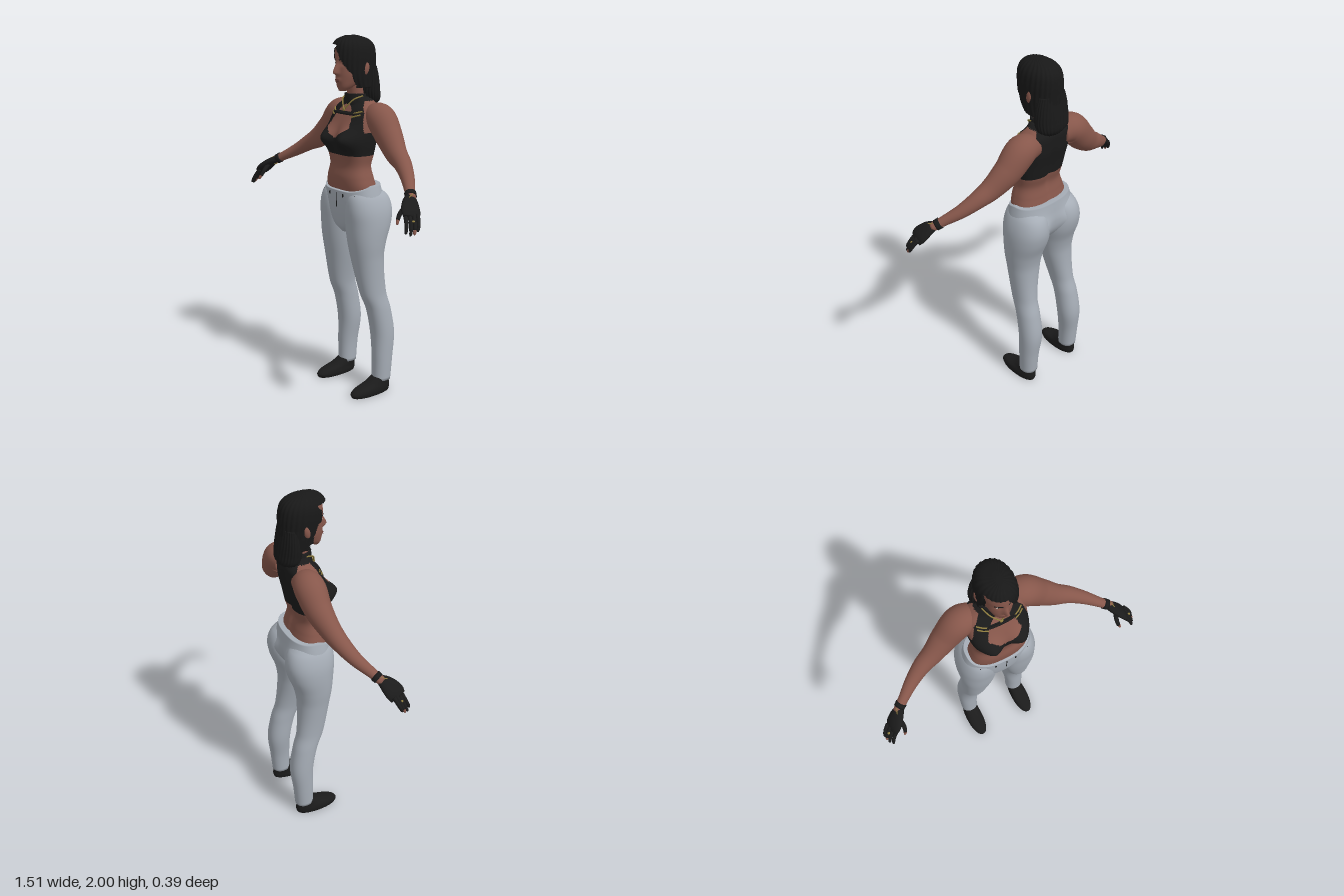
import * as THREE from 'three';

const mat = (name, color, side = THREE.FrontSide) => {
  const m = new THREE.MeshStandardMaterial({ color, side });
  m.name = name;
  return m;
};
const { abs, exp, cos, sin, PI, sign, pow, max, min } = Math;
const bell = (d, w) => exp(-(d * d) / (w * w));

// smooth interpolation of section rows [key, ...values]
function at(rows, k) {
  const n = rows.length;
  let i = 0;
  while (i < n - 2 && k > rows[i + 1][0]) i++;
  const p0 = rows[max(i - 1, 0)], p1 = rows[i], p2 = rows[i + 1], p3 = rows[min(i + 2, n - 1)];
  const h = p2[0] - p1[0], t = (k - p1[0]) / h, t2 = t * t, t3 = t2 * t;
  return p1.slice(1).map((v, j) => {
    const a = v, b = p2[j + 1];
    const ma = (b - p0[j + 1]) / (p2[0] - p0[0]) * h, mb = (p3[j + 1] - a) / (p3[0] - p1[0]) * h;
    return (2 * t3 - 3 * t2 + 1) * a + (t3 - 2 * t2 + t) * ma + (3 * t2 - 2 * t3) * b + (t3 - t2) * mb;
  });
}

// closed rings joined into a capped skin; paint picks a material index, -1 leaves a hole
function skin(f, nu, nv, paint = () => 0) {
  const pos = [], faces = {};
  for (let j = 0; j <= nv; j++) for (let i = 0; i < nu; i++) pos.push(...f(i / nu, j / nv));
  const ends = [0, nv].map(j => {
    const c = [0, 0, 0];
    for (let i = 0; i < nu; i++) for (let k = 0; k < 3; k++) c[k] += pos[(j * nu + i) * 3 + k] / nu;
    pos.push(...c);
    return pos.length / 3 - 1;
  });
  const add = (...t) => {
    const m = [0, 1, 2].map(k => t.reduce((s, v) => s + pos[v * 3 + k], 0) / 3);
    const id = paint(...m);
    if (id >= 0) (faces[id] ??= []).push(...t);
  };
  for (let i = 0; i < nu; i++) {
    const q = (i + 1) % nu, e = nv * nu;
    add(ends[0], i, q);
    add(ends[1], e + q, e + i);
    for (let j = 0; j < nv; j++) {
      const a = j * nu + i, b = j * nu + q;
      add(a, a + nu, b);
      add(b, a + nu, b + nu);
    }
  }
  const g = new THREE.BufferGeometry(), index = [];
  for (const id in faces) {
    g.addGroup(index.length, faces[id].length, +id);
    for (const v of faces[id]) index.push(v);
  }
  g.setAttribute('position', new THREE.Float32BufferAttribute(pos, 3));
  g.setIndex(index);
  g.computeVertexNormals();
  return g;
}

// upright form: rows [y, centreX, halfWidth, frontZ, backZ]
function column(rows, { e = 2.2, bend = p => p, nu = 40, nv = 40, paint } = {}) {
  const y0 = rows[0][0], y1 = rows[rows.length - 1][0], pw = v => sign(v) * pow(abs(v), 2 / e);
  return skin((u, v) => {
    const y = y0 + (y1 - y0) * v, [cx, rx, zf, zb] = at(rows, y), a = 2 * PI * u;
    return bend([cx + rx * pw(cos(a)), y, (zf + zb) / 2 + (zf - zb) / 2 * pw(sin(a))], a);
  }, nu, nv, paint);
}
// height of a column's front surface at x, y
const frontZ = (rows, e, bend) => (x, y) => {
  const [cx, rx, zf, zb] = at(rows, y);
  const s = pow(max(0, 1 - pow(min(1, abs((x - cx) / rx)), e)), 1 / e);
  return bend([x, y, (zf + zb) / 2 + (zf - zb) / 2 * s])[2];
};
// form along a path: points [x, y, z, radiusAcross, radiusInZ]
function limb(pts, nu = 24, nv = 40) {
  const rows = pts.map((p, i) => [i, ...p]), n = pts.length - 1;
  return skin((u, v) => {
    const k = v * n, [x, y, z, ra, rb] = at(rows, k);
    const p = at(rows, max(0, k - .02)), q = at(rows, min(n, k + .02));
    const t = new THREE.Vector3(q[0] - p[0], q[1] - p[1], q[2] - p[2]).normalize();
    const B = new THREE.Vector3(0, 0, 1).addScaledVector(t, -t.z).normalize(), A = t.clone().cross(B);
    return new THREE.Vector3(x, y, z).addScaledVector(A, ra * cos(2 * PI * u)).addScaledVector(B, rb * sin(2 * PI * u)).toArray();
  }, nu, nv);
}

export function createModel() {
  const model = new THREE.Group();
  const M = {
    skin: mat('skin', 0x87574b), cloth: mat('black cloth', 0x1b1b1b), hair: mat('dark hair', 0x181818, THREE.DoubleSide),
    denim: mat('grey trousers', 0xa6adb6, THREE.DoubleSide), gold: mat('gold', 0x8f7d3f),
    lips: mat('lips', 0x6b3f38), eye: mat('eye white', 0xb8aca4),
  };
  const add = (name, geo, m) => {
    const mesh = new THREE.Mesh(geo, m);
    mesh.name = name;
    model.add(mesh);
    return mesh;
  };
  const blob = (name, m, p, s) => {
    const b = add(name, new THREE.SphereGeometry(1, 16, 10), m);
    b.position.set(...p);
    b.scale.set(...s);
    return b;
  };
  const tube = (name, pts, r, m) => add(name, new THREE.TubeGeometry(
    new THREE.CatmullRomCurve3(pts.map(p => new THREE.Vector3(...p))), 24, r, 6), m);

  // torso with the halter top painted on
  const torso = [[1.14, 0, .16, .06, -.12], [1.2, 0, .166, .07, -.12], [1.25, 0, .153, .072, -.11], [1.31, 0, .137, .063, -.1],
    [1.37, 0, .145, .07, -.115], [1.45, 0, .16, .08, -.13], [1.52, 0, .165, .06, -.145], [1.58, 0, .162, .033, -.15],
    [1.62, 0, .148, .01, -.15], [1.65, 0, .11, -.008, -.14], [1.68, 0, .07, -.01, -.13]];
  const bust = ([x, y, z]) => [x, y, z + (z > -.02 ? 1 : 0) * min(1, (z + .02) / .04) * .05 * bell(abs(x) - .085, .06) * bell(y - 1.46, .055)
    + (z < -.06 ? .012 * bell(x, .025) * bell(y - 1.4, .2) : 0)];
  const topPaint = (x, y, z) => {
    const ax = abs(x);
    if (y < 1.375) return 0;
    if (ax > (y < 1.5 ? .3 : y < 1.6 ? .158 - (y - 1.5) * .23 : .135 - (y - 1.6) * .75) && y < 1.66) return 0;
    if (z > -.05) {
      if (y > 1.46 && y < 1.585 && ax < min((y - 1.46) * 1.55, .093 - (y - 1.52) * .35)) return 0;
      if (y > 1.602 && y < 1.642 && ax < .058 * pow((1.642 - y) / .04, .5)) return 0;
    }
    return 1;
  };
  add('torso and halter top', column(torso, { e: 2.5, bend: bust, nu: 144, nv: 120, paint: topPaint }), [M.skin, M.cloth]);
  const chestZ = frontZ(torso, 2.5, bust);

  // neck and collar
  add('neck', column([[1.62, 0, .056, -.015, -.12], [1.7, 0, .052, -.008, -.115], [1.78, 0, .052, .0, -.11]]), M.skin);
  add('collar', column([[1.64, 0, .086, .004, -.14], [1.665, 0, .071, .004, -.13], [1.695, 0, .064, .002, -.122]]), M.cloth);

  // necklace, chest strap and gold clasps
  const onChest = (x, y, d = .004) => [x, y, chestZ(x, y) + d];
  tube('chest strap', [-.1, -.05, 0, .05, .1].map(x => onChest(x, 1.593)), .007, M.cloth);
  for (const s of [1, -1]) {
    tube('necklace chain', [[s * .069, 1.685, -.05], [s * .05, 1.668, -.005], [s * .025, 1.64, .014], [0, 1.612, .026]], .004, M.gold);
    for (const y of [1.585, 1.603]) tube('strap clasp', [.075, .1, .125].map(x => onChest(s * x, y + (x - .1) * .3)), .004, M.gold);
  }
  blob('pendant', M.gold, [0, 1.612, .026], [.01, .01, .006]);

  // head
  const head = [[1.712, 0, .022, .052, .015], [1.735, 0, .043, .06, -.03], [1.765, 0, .057, .064, -.07], [1.8, 0, .067, .067, -.1],
    [1.85, 0, .073, .066, -.125], [1.9, 0, .074, .068, -.135], [1.95, 0, .065, .055, -.125], [1.985, 0, .035, .01, -.08]];
  const faceForm = ([x, y, z]) => [x, y, z + (z < .02 ? 0 : .03 * bell(x, .013) * (y > 1.808 ? bell(y - 1.808, .045) : bell(y - 1.808, .012))
    + .008 * bell(x, .022) * bell(y - 1.768, .014) - .007 * bell(abs(x) - .032, .016) * bell(y - 1.857, .013))];
  add('head', column(head, { bend: faceForm, nu: 96, nv: 80 }), M.skin);
  const faceZ = frontZ(head, 2.2, faceForm);
  for (const s of [1, -1]) {
    blob('eye', M.eye, [s * .032, 1.857, faceZ(s * .032, 1.857)], [.012, .0045, .003]);
    blob('iris', M.hair, [s * .032, 1.857, faceZ(s * .032, 1.857) + .002], [.0045, .0045, .002]);
    tube('eyebrow', [.014, .032, .05].map((x, i) => [s * x, 1.874 + [0, .006, .002][i], faceZ(s * x, 1.876)]), .003, M.hair);
    blob('ear', M.skin, [s * .09, 1.83, -.055], [.012, .034, .018]).rotation.x = -.2;
  }
  for (const y of [1.764, 1.772]) blob('lip', M.lips, [0, y, faceZ(0, y) - .002], [.02, .0045, .004]);

  // hair: swept cap with a face opening, and a mass falling behind the neck
  const cap = [[1.73, .0, .09, .035, -.165], [1.78, 0, .094, .066, -.163], [1.84, 0, .096, .083, -.163], [1.9, 0, .096, .087, -.162],
    [1.95, 0, .086, .08, -.15], [1.982, 0, .06, .055, -.115], [2, .005, .018, .015, -.05]];
  const strands = w => ([x, y, z], a) => [x + cos(a) * w * cos(26 * a + y * 20), y, z + sin(a) * w * cos(26 * a + y * 20)];
  const edge = y => y > 1.9 ? .03 - (y - 1.9) * .5 : min(.078, .03 + (1.9 - y) * .5);
  const capPaint = (x, y, z) =>
    y < 1.955 && x < edge(y) && z > (x < 0 ? -.02 : 0) && x > -.086 - (1.9 - y) * .1 || (y < 1.76 && z > -.04 && x < .07) ? -1 : 0;
  add('hair cap', column(cap, { bend: strands(.0018), nu: 130, nv: 70, paint: capPaint }), M.hair);
  add('long hair', column([[1.635, .01, .05, -.085, -.165], [1.66, 0, .09, -.075, -.178], [1.71, 0, .1, -.06, -.175],
    [1.78, 0, .095, -.07, -.165], [1.84, 0, .08, -.08, -.155]], { bend: strands(.0025), nu: 104 }), M.hair);

  // trousers: seat and waist
  const seat = [[.935, 0, .035, .03, -.07], [.97, 0, .1, .055, -.11], [1.03, 0, .19, .07, -.148], [1.1, 0, .208, .078, -.16],
    [1.16, 0, .195, .08, -.155], [1.215, 0, .181, .08, -.148]];
  const seatForm = ([x, y, z]) => [x, y - max(0, (y - 1.12) / .095) * .035 * min(1, max(0, (z + .03) / .1)),
    z - (z < -.05 ? .032 * bell(abs(x) - .1, .06) * bell(y - 1.07, .07) : 0)];
  add('trouser seat', column(seat, { e: 2.4, bend: seatForm, nu: 72 }), M.denim);
  const seatZ = frontZ(seat, 2.4, p => p);
  add('trouser fly', new THREE.BoxGeometry(.004, .08, .006), M.cloth).position.set(.004, 1.125, .079);
  for (const x of [-.14, -.06, .06, .14]) blob('waist stud', M.cloth, [x, 1.155, seatZ(x, 1.16) + .001], [.005, .01, .004]);

  const leg = [[.07, .165, .05, -.063, -.17], [.2, .165, .055, -.064, -.181], [.35, .157, .065, -.06, -.195], [.5, .152, .063, -.03, -.172],
    [.6, .145, .063, .01, -.145], [.8, .127, .089, .05, -.13], [.9, .122, .104, .066, -.145], [1, .117, .114, .075, -.18],
    [1.08, .116, .108, .08, -.19], [1.15, .11, .09, .07, -.168], [1.19, .1, .07, .045, -.12]];
  const shoe = [[0, .168, .048, .09, -.163], [.02, .168, .052, .096, -.168], [.04, .168, .05, .07, -.167],
    [.06, .166, .046, .0, -.163], [.095, .165, .042, -.07, -.16]];
  const arm = [[.09, 1.575, -.085, .06, .06], [.175, 1.572, -.085, .081, .08], [.26, 1.488, -.077, .076, .07], [.345, 1.416, -.055, .062, .055],
    [.425, 1.372, -.034, .046, .046], [.505, 1.322, .002, .035, .036], [.58, 1.277, .05, .026, .027], [.635, 1.245, .085, .022, .024]];

  for (const s of [1, -1]) {
    const side = s > 0 ? 'left ' : 'right ';
    const flip = rows => rows.map(([x, ...r]) => [s * x, ...r]);
    const shift = rows => rows.map(([y, x, ...r]) => [y, s * x, ...r]);
    add(side + 'trouser leg', column(shift(leg), { nv: 70 }), M.denim);
    add(side + 'shoe', column(shift(shoe), { nv: 24 }), M.cloth);
    add(side + 'arm', limb(flip(arm), 32, 56), M.skin);

    // gloved hand
    add(side + 'wrist band', limb(flip([[.597, 1.267, .061, .029, .03], [.617, 1.255, .073, .028, .029]]), 20, 3), M.cloth);
    tube(side + 'bracelet', [[.632, 1.272, .075], [.642, 1.255, .11], [.622, 1.225, .09], [.618, 1.24, .062], [.632, 1.272, .075]].map(p => [s * p[0], ...p.slice(1)]), .003, M.gold);
    add(side + 'glove palm', limb(flip([[.615, 1.256, .075, .02, .023], [.645, 1.235, .1, .022, .042],
      [.678, 1.203, .125, .02, .052], [.698, 1.178, .138, .012, .046]]), 24, 20), M.cloth);
    for (let j = 0; j < 4; j++) {
      const o = (j - 1.5) * .021, len = [.85, 1, 1.05, .95][j];
      const pt = (t, r) => [.694 - o * .45 + .045 * sin(t * 1.5) * len, 1.19 - .085 * t * len, .134 + o * .85 + .032 * t, r, r];
      add(side + 'glove finger', limb(flip([pt(0, .011), pt(.4, .01), pt(.75, .009)]), 10, 8), M.cloth);
      add(side + 'fingertip', limb(flip([pt(.72, .0085), pt(.9, .0075), pt(1, .003)]), 10, 6), j === 1 ? M.skin : M.cloth);
    }
    add(side + 'thumb', limb(flip([[.645, 1.225, .12, .014, .014], [.637, 1.19, .155, .012, .012], [.642, 1.16, .175, .01, .01]]), 10, 10), M.cloth);
    add(side + 'thumb tip', limb(flip([[.642, 1.162, .174, .009, .009], [.648, 1.145, .182, .007, .007], [.65, 1.138, .184, .002, .002]]), 10, 6), M.skin);
    blob(side + 'ring', M.gold, [s * .722, 1.165, .145], [.008, .005, .008]);
  }
  return model;
}
